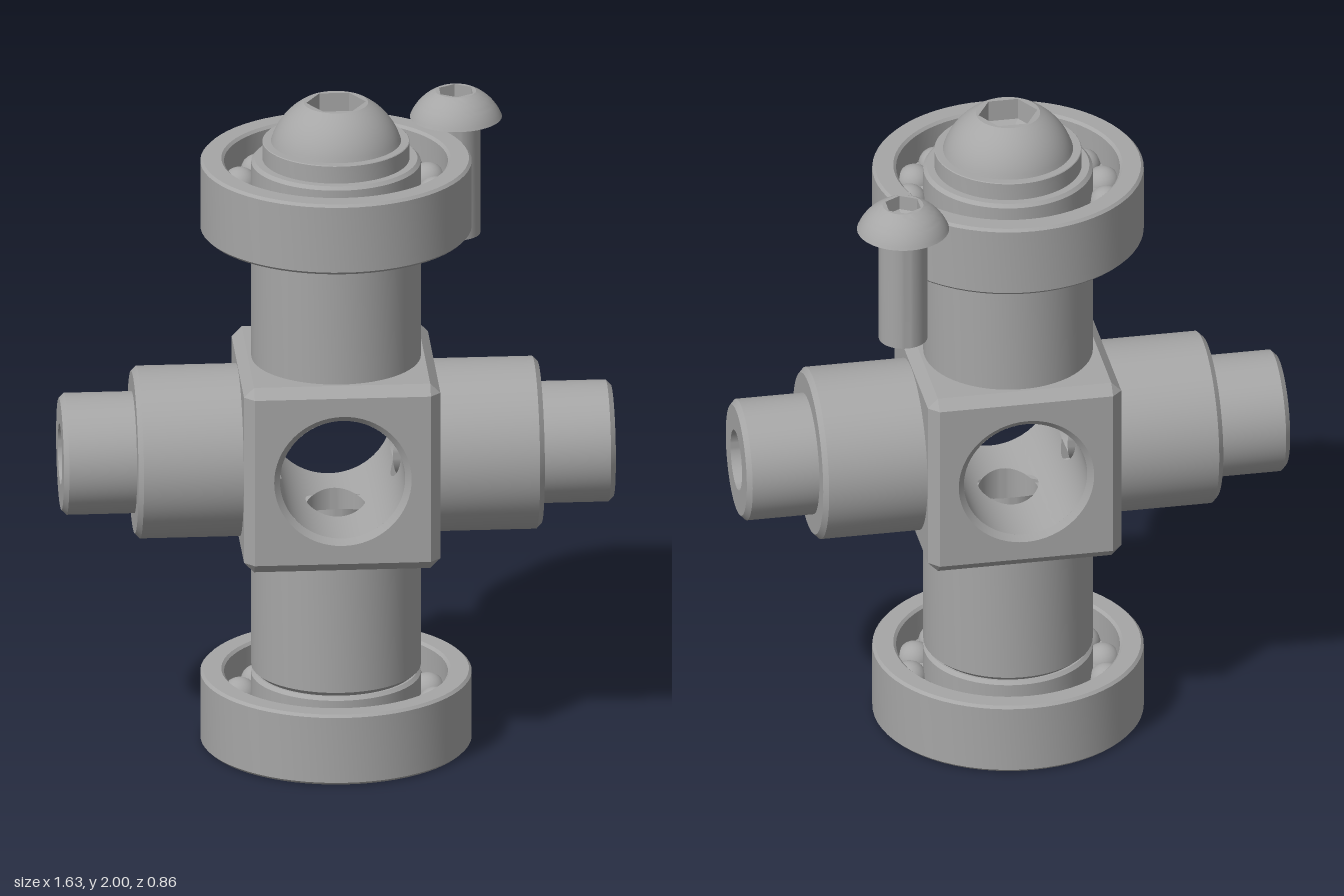
import * as THREE from 'three';
import { toCreasedNormals, mergeGeometries } from 'three/addons/utils/BufferGeometryUtils.js';

const BORE = 0.185, HALF = 0.29, FLAT = 0.26, MID_Y = 0.915;

export function createModel() {
  const steel = new THREE.MeshStandardMaterial({ color: 0xa6a6a6, side: THREE.DoubleSide });
  steel.name = 'steel';
  const model = new THREE.Group();
  model.name = 'bearingHub';
  const core = new THREE.Group();
  core.name = 'hub';
  core.position.set(0, 0, 0.03);
  model.add(core);

  const add = (name, geometry, parent, x = 0, y = 0, z = 0) => {
    const mesh = new THREE.Mesh(geometry, steel);
    mesh.name = name;
    mesh.position.set(x, y, z);
    parent.add(mesh);
    return mesh;
  };
  const rawLathe = (pts, seg = 64) =>
    new THREE.LatheGeometry(pts.map(p => new THREE.Vector2(...p)), seg);
  const lathe = (pts, seg) => toCreasedNormals(rawLathe(pts, seg), 0.5);

  // Cube faces, each with a round opening
  const square = new THREE.Shape([[-1, -1], [1, -1], [1, 1], [-1, 1]]
    .map(([x, y]) => new THREE.Vector2(x * FLAT, y * FLAT)));
  const opening = new THREE.Path();
  opening.absarc(0, 0, 0.203, 0, Math.PI * 2, true);
  square.holes.push(opening);
  const panel = () => new THREE.ShapeGeometry(square, 32).translate(0, 0, HALF);
  const panels = [];
  for (let k = 0; k < 4; k++) panels.push(panel().rotateY(k * Math.PI / 2));
  for (const s of [-1, 1]) panels.push(panel().rotateX(s * Math.PI / 2));
  add('cubeFaces', mergeGeometries(panels), core, 0, MID_Y);

  // Chamfered cube edges and corners
  const verts = [];
  const tri = (a, b, c, flip) => verts.push(...a, ...(flip ? c : b), ...(flip ? b : c));
  const at = (axis, a, b, c) => {
    const p = [];
    p[axis] = a; p[(axis + 1) % 3] = b; p[(axis + 2) % 3] = c;
    return p;
  };
  for (const s of [-1, 1]) for (const t of [-1, 1]) {
    for (let axis = 0; axis < 3; axis++) {
      const p = [at(axis, -FLAT, s * HALF, t * FLAT), at(axis, FLAT, s * HALF, t * FLAT),
        at(axis, FLAT, s * FLAT, t * HALF), at(axis, -FLAT, s * FLAT, t * HALF)];
      tri(p[0], p[1], p[2], s * t > 0 ? false : true);
      tri(p[0], p[2], p[3], s * t > 0 ? false : true);
    }
    for (const u of [-1, 1]) {
      tri([s * HALF, t * FLAT, u * FLAT], [s * FLAT, t * HALF, u * FLAT],
        [s * FLAT, t * FLAT, u * HALF], s * t * u < 0);
    }
  }
  const chamfers = new THREE.BufferGeometry();
  chamfers.setAttribute('position', new THREE.Float32BufferAttribute(verts, 3));
  chamfers.computeVertexNormals();
  add('cubeChamfers', chamfers, core, 0, MID_Y);

  // Bore wall: four patches, each stretched from a round side hole to its border
  const borePatch = () => {
    const g = new THREE.PlaneGeometry(1, 1, 64, 8);
    const pos = g.attributes.position, nor = g.attributes.normal;
    for (let i = 0; i < pos.count; i++) {
      const a = (pos.getX(i) + 0.5) * Math.PI * 2, s = pos.getY(i) + 0.5;
      const c = Math.cos(a), d = Math.sin(a), m = Math.max(Math.abs(c), Math.abs(d));
      const angle = THREE.MathUtils.lerp(Math.asin(0.09 * c / BORE), c / m * Math.PI / 4, s);
      const z = THREE.MathUtils.lerp(0.09 * d, d / m * 0.275, s);
      pos.setXYZ(i, BORE * Math.cos(angle), BORE * Math.sin(angle), z);
      nor.setXYZ(i, -Math.cos(angle), -Math.sin(angle), 0);
    }
    // Reverse the winding where needed so the wall faces the bore axis
    const v = [0, 1, 2].map(k => new THREE.Vector3().fromBufferAttribute(pos, g.index.getX(k)));
    const n = v[1].clone().sub(v[0]).cross(v[2].clone().sub(v[0]));
    if (n.x > 0) g.setIndex(Array.from(g.index.array).reverse());
    return g;
  };
  const patches = [0, 1, 2, 3].map(k => borePatch().rotateZ(k * Math.PI / 2));
  add('bore', mergeGeometries(patches), core, 0, MID_Y);
  for (const s of [-1, 1]) {
    const rim = lathe([[0.203, HALF], [BORE, 0.275]]).rotateX(s * Math.PI / 2);
    add('boreRim', rim, core, 0, MID_Y);
  }

  // Hollow stepped arms; the inner end follows the round bore
  const arm = (pts, turn) => {
    const g = rawLathe([...pts, [0.09, BORE]]);
    const pos = g.attributes.position;
    for (let i = 0; i < pos.count; i++) {
      if (pos.getY(i) < 0.2) pos.setY(i, Math.sqrt(BORE ** 2 - pos.getZ(i) ** 2));
    }
    return toCreasedNormals(g, 0.5).rotateZ(turn * Math.PI / 2);
  };
  const sideArm = [[0.255, 0.28], [0.255, 0.585], [0.24, 0.6], [0.18, 0.6],
    [0.18, 0.8], [0.165, 0.815], [0.09, 0.815]];
  const shaft = [[0.25, 0.28], [0.25, 0.68], [0.232, 0.696], [0.185, 0.696],
    [0.185, 0.89], [0.175, 0.9], [0.09, 0.9]];
  add('upperShaft', arm(shaft, 0), core, 0, MID_Y);
  add('rightArm', arm(sideArm, 1), core, 0, MID_Y);
  add('lowerShaft', arm(shaft, 2), core, 0, MID_Y);
  add('leftArm', arm(sideArm, 3), core, 0, MID_Y);

  // Ball bearings
  const ring = (inner, outer, h, c) => lathe([
    [inner + c, -h], [outer - c, -h], [outer, c - h], [outer, h - c],
    [outer - c, h], [inner + c, h], [inner, h - c], [inner, c - h], [inner + c, -h]]);
  const ball = new THREE.SphereGeometry(0.053, 20, 14);
  for (const [name, y] of [['lowerBearing', 0.11], ['upperBearing', 1.715]]) {
    const bearing = new THREE.Group();
    bearing.name = name;
    bearing.position.y = y;
    core.add(bearing);
    add('outerRace', ring(0.33, 0.4, 0.11, 0.008), bearing);
    add('innerRace', ring(0.187, 0.25, 0.11, 0.01), bearing);
    add('cage', ring(0.249, 0.331, 0.01, 0.0005), bearing);
    for (let i = 0; i < 15; i++) {
      const a = i * Math.PI * 2 / 15;
      add('ball', ball, bearing, 0.292 * Math.sin(a), 0, -0.292 * Math.cos(a));
    }
  }

  // Round-headed bolt with a hex socket; y = 0 is the underside of the head
  const bolt = (name, headR, topR, headH, shankR, shankL, hexR, turn) => {
    const g = new THREE.Group();
    g.name = name;
    const cy = (headH - (headR ** 2 - topR ** 2) / headH) / 2;
    const R = Math.hypot(headR, cy), a0 = Math.atan2(-cy, headR), a1 = Math.atan2(headH - cy, topR);
    const dome = [];
    for (let i = 0; i <= 12; i++) {
      const a = a0 + (a1 - a0) * i / 12;
      dome.push([R * Math.cos(a), cy + R * Math.sin(a)]);
    }
    add('boltHead', lathe([[0, -shankL], [shankR, -shankL], [shankR, 0], ...dome], 48), g);
    const top = new THREE.Shape().absarc(0, 0, topR, 0, Math.PI * 2);
    top.holes.push(new THREE.Path([0, 1, 2, 3, 4, 5].map(i => new THREE.Vector2(
      hexR * Math.sin(turn + i * Math.PI / 3), -hexR * Math.cos(turn + i * Math.PI / 3)))));
    add('boltTop', new THREE.ShapeGeometry(top, 24).rotateX(-Math.PI / 2), g, 0, headH);
    const depth = headH * 0.55;
    const wall = new THREE.CylinderGeometry(hexR, hexR, depth, 6, 1, true);
    const tip = new THREE.CylinderGeometry(hexR, 0.001, hexR * 0.35, 6, 1, true)
      .translate(0, -depth / 2 - hexR * 0.175, 0);
    const socket = toCreasedNormals(mergeGeometries([wall, tip]), 0.3).rotateY(turn);
    add('hexSocket', socket, g, 0, headH - depth / 2);
    return g;
  };

  // Washer and clamping bolt on the upper shaft
  add('washer', ring(0.09, 0.217, 0.03, 0.002), core, 0, 1.85);
  const topBolt = bolt('topBolt', 0.192, 0.095, 0.12, 0.088, 0.5, 0.088, Math.PI / 6);
  topBolt.position.y = 1.88;
  core.add(topBolt);

  // Loose bolt beside the upper bearing
  const looseBolt = bolt('looseBolt', 0.136, 0.06, 0.08, 0.072, 0.365, 0.055, 0);
  looseBolt.position.set(0.377, 1.825, -0.295);
  model.add(looseBolt);
  return model;
}
